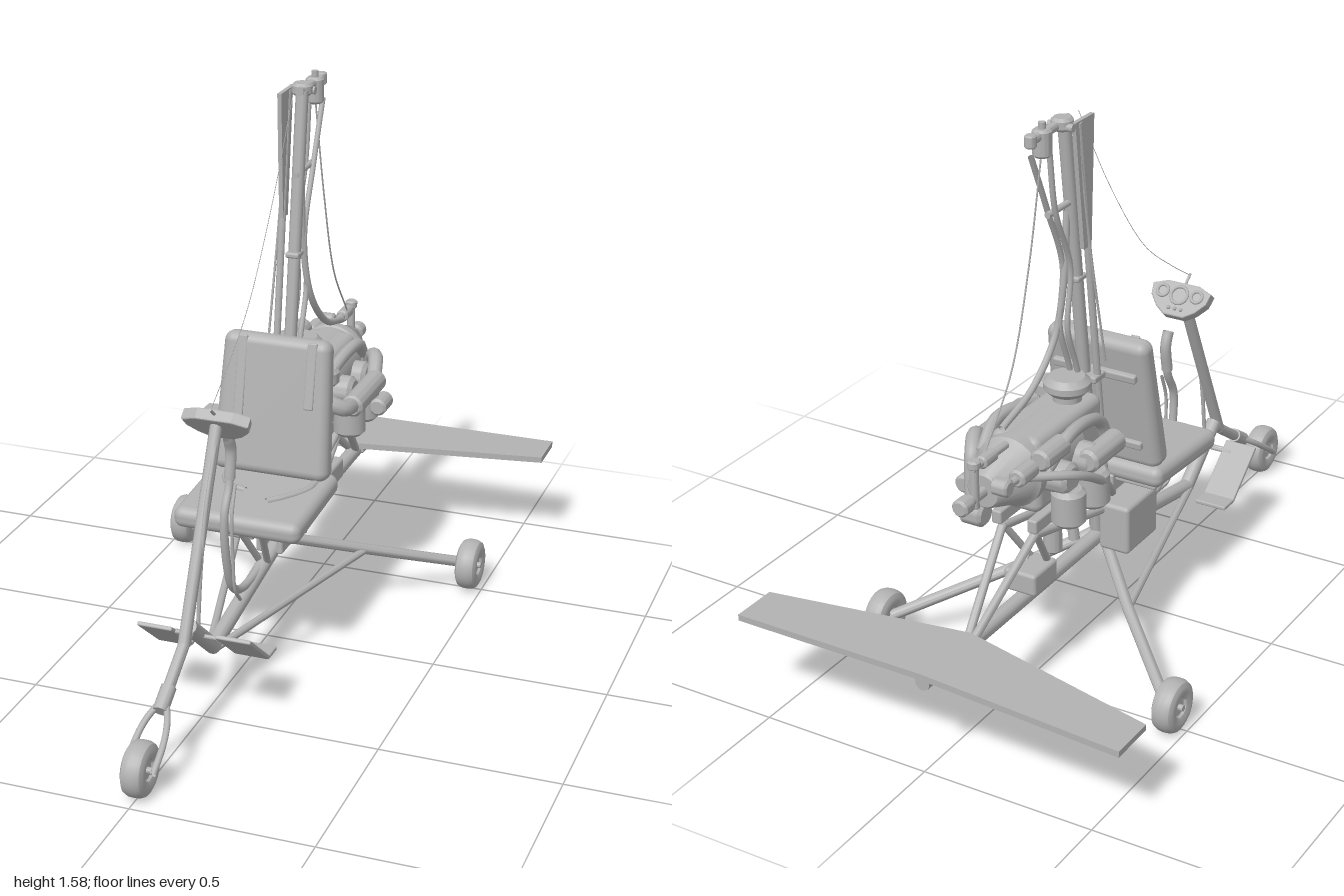
import * as THREE from 'three';
import { toCreasedNormals } from 'three/addons/utils/BufferGeometryUtils.js';
import { RoundedBoxGeometry } from 'three/addons/geometries/RoundedBoxGeometry.js';

const grey = new THREE.MeshStandardMaterial({ color: 0xb2b2b2, side: THREE.DoubleSide });
grey.name = 'plain grey';
const V = (p) => new THREE.Vector3(...p);

export function createModel() {
  const model = new THREE.Group();
  model.name = 'gyrocopter';

  const add = (name, geo, pos = [0, 0, 0], parent = model) => {
    const m = new THREE.Mesh(geo, grey);
    m.name = name;
    m.position.set(...pos);
    parent.add(m);
    return m;
  };
  // straight tube from a to b
  const rod = (name, a, b, r, r2 = r, sides = 14) => {
    const d = V(b).sub(V(a));
    const m = add(name, toCreasedNormals(new THREE.CylinderGeometry(r2, r, d.length(), sides), 0.7));
    m.position.copy(V(a)).addScaledVector(d, 0.5);
    m.quaternion.setFromUnitVectors(new THREE.Vector3(0, 1, 0), d.normalize());
    return m;
  };
  // bent tube through points
  const hose = (name, pts, r, sides = 8) =>
    add(name, new THREE.TubeGeometry(new THREE.CatmullRomCurve3(pts.map(V)), pts.length * 8, r, sides));
  const box = (name, pos, size, r = 0.006, tilt = 0) => {
    const m = add(name, new RoundedBoxGeometry(...size, 3, r), pos);
    m.rotation.x = tilt;
    return m;
  };
  // turned part along x, y or z, profile as [radius, distance]
  const turned = (name, profile, pos, axis = 'y') => {
    const geo = new THREE.LatheGeometry(profile.map((p) => new THREE.Vector2(...p)), 28);
    if (axis === 'z') geo.rotateX(-Math.PI / 2); // distance runs backward
    if (axis === 'x') geo.rotateZ(-Math.PI / 2);
    return add(name, toCreasedNormals(geo, 0.6), pos);
  };
  const can = (name, pos, r, h, axis = 'y') => turned(name, [[0, -h / 2], [r * 0.75, -h / 2],
    [r, -h / 2 + r * 0.25], [r, h / 2 - r * 0.25], [r * 0.75, h / 2], [0, h / 2]], pos, axis);

  // Wheels
  const tyre = [[0, -0.02], [0.026, -0.02], [0.03, -0.027], [0.045, -0.032], [0.058, -0.031], [0.069, -0.025], [0.074, -0.014], [0.075, -0.004]];
  const wheelProfile = [...tyre, ...tyre.map(([r, y]) => [r, -y]).reverse()];
  const wheel = (name, x, z) => {
    turned(name, wheelProfile, [x, 0.078, z], 'x');
    rod(name + 'Axle', [x - 0.034, 0.078, z], [x + 0.034, 0.078, z], 0.009);
  };
  wheel('frontWheel', 0, 0.925);
  wheel('leftWheel', 0.46, -0.51);
  wheel('rightWheel', -0.46, -0.51);

  // Keel tube with its bends
  const keel = [[0, 0.32, 0.59], [0, 0.178, 0.42], [0, 0.27, -0.11], [0, 0.27, -0.995]];
  keel.slice(1).forEach((p, i) => {
    rod('keelTube', keel[i], p, 0.022);
    if (i < 2) add('keelBend', new THREE.SphereGeometry(0.022, 14, 10), p);
  });

  // Front fork
  rod('forkStem', [0, 0.32, 0.57], [0, 0.178, 0.78], 0.016);
  rod('forkSleeve', [0, 0.212, 0.73], [0, 0.172, 0.79], 0.021);
  for (const s of [-1, 1]) {
    hose('forkLeg', [[s * 0.01, 0.185, 0.77], [s * 0.03, 0.155, 0.815], [s * 0.039, 0.12, 0.865], [s * 0.039, 0.072, 0.934]], 0.009, 10);
    // Main gear legs and braces
    rod('gearLeg', [s * 0.02, 0.27, -0.11], [s * 0.2, 0.183, -0.29], 0.016);
    rod('gearLeg', [s * 0.2, 0.183, -0.29], [s * 0.44, 0.08, -0.51], 0.016);
    rod('gearBrace', [s * 0.01, 0.175, 0.42], [s * 0.2, 0.18, -0.29], 0.011);
    // Foot plates with a flat heel
    box('footPlate', [s * 0.112, 0.228, 0.487], [0.1, 0.012, 0.185], 0.004, -0.68);
    box('heelPlate', [s * 0.112, 0.171, 0.387], [0.1, 0.012, 0.06], 0.004);
    // Rear engine truss
    rod('trussFront', [s * 0.06, 0.4, -0.17], [s * 0.05, 0.485, -0.53], 0.012);
    rod('trussRear', [s * 0.05, 0.485, -0.53], [s * 0.01, 0.285, -0.76], 0.012);
    rod('trussMiddle', [s * 0.05, 0.485, -0.52], [s * 0.015, 0.285, -0.38], 0.01);
  }
  rod('pedalBar', [-0.09, 0.265, 0.53], [0.09, 0.265, 0.53], 0.006);

  // Steering column and instrument pod
  rod('column', [0, 0.28, 0.625], [0, 0.82, 0.38], 0.017);
  hose('columnHose', [[0.008, 0.79, 0.4], [0.012, 0.62, 0.49], [0.012, 0.47, 0.53], [0.01, 0.3, 0.55]], 0.006);
  const panel = new THREE.Shape([[-0.03, -0.05], [0.03, -0.05], [0.06, -0.03], [0.085, 0], [0.09, 0.03], [0.05, 0.045],
    [-0.05, 0.045], [-0.09, 0.03], [-0.085, 0], [-0.06, -0.03]].map((p) => new THREE.Vector2(...p)));
  const pod = new THREE.Group();
  pod.name = 'instrumentPod';
  pod.position.set(0, 0.81, 0.365);
  pod.rotation.x = 0.72;
  model.add(pod);
  add('podBody', new THREE.ExtrudeGeometry(panel, { depth: 0.026, bevelSize: 0.004, bevelThickness: 0.004, bevelSegments: 2 }), [0, 0, -0.013], pod);
  for (const [x, y, r] of [[0, 0.01, 0.026], [-0.055, 0.015, 0.017], [0.055, 0.015, 0.017]])
    add('gaugeRim', new THREE.TorusGeometry(r, 0.005, 8, 20), [x, y, -0.018], pod);
  for (const x of [-0.02, 0, 0.02]) add('switch', new THREE.SphereGeometry(0.006, 8, 6), [x, -0.032, -0.018], pod);
  rod('windGauge', [0, 0.84, 0.385], [0, 0.872, 0.425], 0.004);

  // Control stick
  hose('controlStick', [[0, 0.66, 0.28], [0, 0.6, 0.295], [0, 0.53, 0.33], [0, 0.4, 0.32], [0, 0.29, 0.275],
    [0, 0.25, 0.2], [0, 0.262, -0.07]], 0.012, 10);
  hose('stickCable', [[0.012, 0.6, 0.28], [0.014, 0.52, 0.31], [0.014, 0.4, 0.305], [0.014, 0.29, 0.29], [0.014, 0.24, 0.25]], 0.005);
  hose('stickGrip', [[0, 0.74, 0.295], [0, 0.7, 0.28], [0, 0.62, 0.29]], 0.016, 10);

  // Seat cushion
  add('seatCushion', new RoundedBoxGeometry(0.37, 0.062, 0.35, 6, 0.026), [0, 0.468, 0.083]).rotation.x = 0.06;
  box('seatPan', [0, 0.437, 0.07], [0.33, 0.015, 0.3], 0.006, 0.06);
  // Seat back, narrower and thinner toward the top
  const backrest = new THREE.Group();
  backrest.name = 'backrest';
  backrest.position.set(0, 0.698, -0.068);
  backrest.rotation.x = -0.16;
  model.add(backrest);
  const backGeo = new RoundedBoxGeometry(0.33, 0.4, 0.07, 6, 0.028);
  const bp = backGeo.attributes.position;
  for (let i = 0; i < bp.count; i++) {
    const t = bp.getY(i) / 0.4;
    bp.setX(i, bp.getX(i) * (1 - 0.1 * t));
    bp.setZ(i, bp.getZ(i) * (1 - 0.25 * t));
  }
  add('backCushion', backGeo, [0, 0, 0], backrest);
  for (const [x, len] of [[-0.098, 0.24], [0.108, 0.19]])
    add('shoulderBelt', new RoundedBoxGeometry(0.028, len, 0.01, 2, 0.004), [x, 0.195 - len / 2, 0.031], backrest).rotation.x = -0.04;
  for (const y of [-0.12, 0.1]) add('backBar', new RoundedBoxGeometry(0.26, 0.025, 0.02, 2, 0.006), [0, y, -0.04], backrest);
  hose('lapBelt', [[-0.12, 0.502, -0.02], [-0.115, 0.5, 0.03], [-0.08, 0.5, 0.08], [-0.03, 0.498, 0.095]], 0.01);
  hose('lapBelt', [[0.14, 0.502, -0.02], [0.135, 0.5, 0.03], [0.09, 0.498, 0.1], [0.05, 0.496, 0.14]], 0.01);
  // Seat supports
  for (const s of [-1, 1]) {
    rod('seatStrut', [s * 0.04, 0.44, 0.17], [s * 0.012, 0.255, 0.03], 0.01);
    box('seatPost', [s * 0.03, 0.36, -0.055], [0.02, 0.2, 0.08]);
  }

  // Mast: two tubes, with a tapered plate at the head
  rod('mastTube', [0.002, 0.27, -0.11], [0.002, 1.555, -0.27], 0.018);
  rod('mastTubeRight', [-0.038, 0.27, -0.11], [-0.038, 1.555, -0.265], 0.01);
  const plate = new THREE.Shape([[0.195, 1.56], [0.29, 1.56], [0.25, 1.2], [0.212, 1.2]].map((p) => new THREE.Vector2(...p)));
  const plateGeo = new THREE.ExtrudeGeometry(plate, { depth: 0.012, bevelEnabled: false });
  plateGeo.rotateY(Math.PI / 2);
  add('mastPlate', plateGeo, [-0.044, 0, 0]);
  box('mastClamp', [0.002, 1.1, -0.213], [0.04, 0.016, 0.05]);
  box('mastFoot', [-0.014, 0.8, -0.175], [0.07, 0.02, 0.06]);
  rod('headLink', [0, 1.325, -0.22], [0, 1.325, -0.36], 0.009);

  // Rotor head
  rod('headBeam', [0, 1.555, -0.25], [0, 1.55, -0.44], 0.013);
  can('headBearing', [-0.005, 1.555, -0.29], 0.03, 0.035);
  can('rotorHub', [0, 1.53, -0.38], 0.026, 0.075);
  rod('rotorPin', [0, 1.5, -0.38], [0, 1.585, -0.38], 0.01);
  rod('headCrossPin', [-0.045, 1.55, -0.3], [0.03, 1.55, -0.3], 0.011);
  can('headBolt', [0, 1.55, -0.435], 0.016, 0.035);
  for (const s of [-1, 1]) hose('controlRod', [[s * 0.012, 1.5, -0.39 - s * 0.025], [s * 0.012, 1.33, -0.34], [s * 0.012, 1.15, -0.268],
    [s * 0.012, 0.98, -0.285], [s * 0.012, 0.85, -0.24], [s * 0.012, 0.66, -0.19]], 0.008);
  hose('headHose', [[0.008, 1.3, -0.25], [0.008, 1.1, -0.27], [0.02, 0.95, -0.3], [0.03, 0.84, -0.4], [0.03, 0.79, -0.55]], 0.01);
  hose('headCable', [[0, 1.5, -0.385], [0.01, 1.2, -0.44], [0.01, 0.95, -0.53], [0.01, 0.78, -0.66]], 0.0025, 5);
  hose('sideCable', [[-0.04, 1.53, -0.27], [-0.05, 1.2, -0.23], [-0.06, 0.85, -0.17]], 0.0035, 5);
  hose('frontWire', [[0, 1.56, -0.2], [0, 1.3, -0.04], [0, 1.06, 0.15], [0, 0.94, 0.31], [0, 0.87, 0.42]], 0.001, 4);

  // Engine block, gearbox cone and propeller flange
  box('engineBlock', [0.01, 0.655, -0.36], [0.15, 0.22, 0.34], 0.025);
  turned('crankcase', [[0, 0], [0.08, 0], [0.095, 0.02], [0.095, 0.22], [0.1, 0.225], [0.1, 0.25],
    [0.088, 0.26], [0.05, 0.37], [0.045, 0.375], [0, 0.375]], [0.005, 0.675, -0.31], 'z');
  rod('propellerShaft', [0.005, 0.675, -0.67], [0.005, 0.675, -0.77], 0.015);
  can('propellerFlange', [0.005, 0.675, -0.775], 0.024, 0.045, 'z');
  rod('pitchArm', [0, 0.65, -0.73], [0, 0.785, -0.73], 0.012);
  rod('pitchShaft', [0, 0.765, -0.58], [0, 0.765, -0.745], 0.011);
  can('pitchActuator', [0, 0.765, -0.67], 0.018, 0.06, 'z');
  can('pitchCap', [0, 0.775, -0.73], 0.018, 0.025);
  can('airFilter', [0, 0.81, -0.27], 0.065, 0.05);
  can('filterNeck', [0, 0.76, -0.27], 0.04, 0.08);
  can('flywheel', [0.01, 0.64, -0.19], 0.085, 0.05, 'z');
  can('beltPulley', [0.1, 0.75, -0.2], 0.042, 0.05);

  // Cylinders and manifolds on both sides
  for (const s of [-1, 1]) {
    for (const z of [-0.35, -0.475]) {
      can('cylinder', [s * 0.125, 0.57, z], 0.047, 0.105);
      can('cylinderHead', [s * 0.09, 0.65, z], 0.045, 0.1, 'x');
    }
    hose('coolantHose', [[s * 0.1, 0.7, -0.54], [s * 0.11, 0.755, -0.46], [s * 0.1, 0.75, -0.34], [s * 0.09, 0.71, -0.25], [s * 0.09, 0.6, -0.2]], 0.018);
    box('engineMount', [s * 0.055, 0.52, -0.37], [0.03, 0.04, 0.36]);
  }
  // Exhaust on the left
  can('exhaustCan', [0.18, 0.665, -0.315], 0.032, 0.23, 'z');
  hose('exhaustPipe', [[0.175, 0.665, -0.42], [0.16, 0.71, -0.48], [0.13, 0.69, -0.54], [0.12, 0.6, -0.56], [0.11, 0.55, -0.57]], 0.022, 10);
  hose('exhaustBend', [[0.18, 0.665, -0.22], [0.17, 0.68, -0.15], [0.12, 0.7, -0.13], [0.08, 0.66, -0.17]], 0.024, 10);
  can('exhaustOutlet', [0.1, 0.54, -0.58], 0.036, 0.07, 'x');
  can('smallFilter', [0.18, 0.57, -0.48], 0.026, 0.08, 'z');
  // Auxiliaries on the right
  can('starterMotor', [-0.13, 0.66, -0.31], 0.033, 0.16, 'z');
  can('alternator', [-0.1, 0.74, -0.52], 0.03, 0.12, 'z');
  can('pump', [-0.08, 0.72, -0.62], 0.025, 0.08, 'z');
  can('pumpCap', [-0.07, 0.72, -0.71], 0.024, 0.05, 'x');
  rod('pumpRod', [-0.08, 0.72, -0.58], [-0.08, 0.72, -0.73], 0.011);
  hose('oilHose', [[-0.08, 0.7, -0.6], [-0.16, 0.68, -0.5], [-0.16, 0.6, -0.36], [-0.12, 0.5, -0.24]], 0.013);

  // Tanks and boxes low on the frame
  box('battery', [-0.098, 0.355, -0.11], [0.095, 0.145, 0.17], 0.012);
  can('oilTank', [0.065, 0.43, -0.165], 0.042, 0.13);
  can('oilTankCap', [0.065, 0.505, -0.165], 0.02, 0.03);
  rod('oilTankPost', [0.045, 0.27, -0.165], [0.06, 0.38, -0.165], 0.016);
  can('expansionBottle', [0.04, 0.345, -0.29], 0.027, 0.1);
  box('radioBox', [0, 0.325, -0.47], [0.1, 0.065, 0.12], 0.01);
  hose('fuelLine', [[0.04, 0.39, -0.29], [0.04, 0.44, -0.36], [0.03, 0.4, -0.42], [0.02, 0.35, -0.46]], 0.006);

  // Tailplane, right half drooping
  for (const s of [-1, 1]) {
    const half = new THREE.Shape([[0, 0.77], [0.58, 0.865], [0.58, 1], [0, 1]].map(([x, z]) => new THREE.Vector2(s * x, -z)));
    const geo = new THREE.ExtrudeGeometry(half, { depth: 0.018, bevelEnabled: false });
    geo.rotateX(Math.PI / 2); // shape y becomes z
    add('tailplaneHalf', geo, [0, 0.299, 0]).rotation.z = s < 0 ? 0.062 : 0;
  }
  box('tailBracket', [0, 0.275, -0.88], [0.06, 0.025, 0.2]);
  return model;
}
